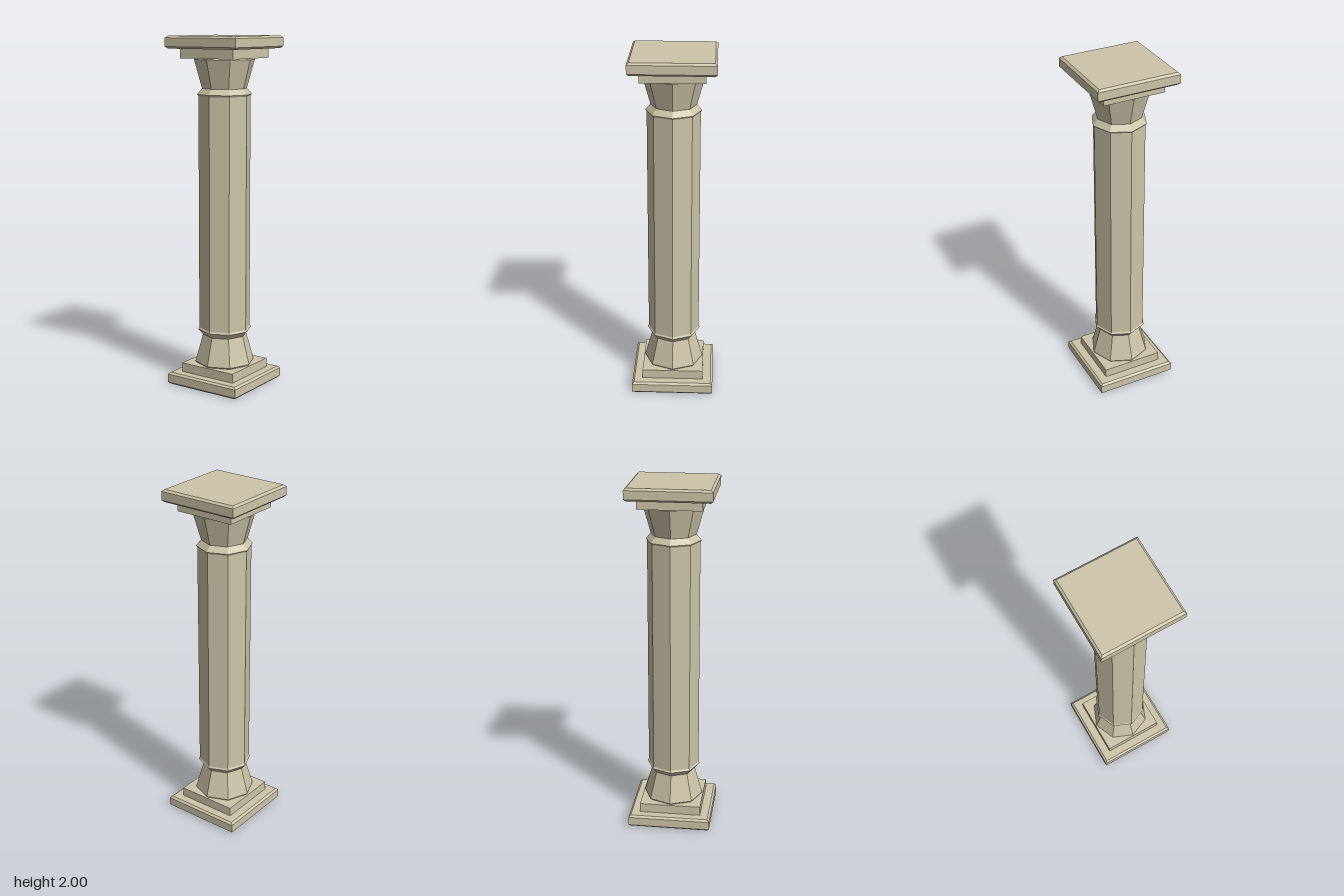
import * as THREE from 'three';

const stone = new THREE.MeshStandardMaterial({ color: 0xcdc5a9 });
stone.name = 'pale stone';

// Faceted solid turned from a [radius, height] profile listed bottom to top
function turned(name, profile, sides) {
  const points = profile.map(([r, y]) => new THREE.Vector2(r, y));
  const geometry = new THREE.LatheGeometry(points, sides).toNonIndexed();
  geometry.computeVertexNormals();
  const mesh = new THREE.Mesh(geometry, stone);
  mesh.name = name;
  return mesh;
}

// Square block, with profile radii given as half widths
function square(name, profile) {
  const mesh = turned(name, profile.map(([h, y]) => [h * Math.SQRT2, y]), 4);
  mesh.geometry.rotateY(Math.PI / 4);
  return mesh;
}

// The same profile turned upside down at the other end of the column
const flip = (profile) => profile.map(([r, y]) => [r, 2 - y]).reverse();

export function createModel() {
  const model = new THREE.Group();
  model.name = 'column';

  // Chamfered slab
  const slab = [[0, 0], [0.224, 0], [0.236, 0.011], [0.236, 0.059], [0.224, 0.07], [0, 0.07]];
  // Smaller step
  const step = [[0, 0.068], [0.177, 0.068], [0.177, 0.123], [0, 0.123]];
  // Tapered bell
  const bell = [[0, 0.12], [0.165, 0.12], [0.172, 0.13], [0.127, 0.29]];
  // Projecting collar
  const collar = [[0.127, 0.29], [0.155, 0.322], [0.148, 0.332]];

  for (const [end, place] of [['base', (p) => p], ['capital', flip]]) {
    const group = new THREE.Group();
    group.name = end;
    group.add(
      square(end + ' slab', place(slab)),
      square(end + ' step', place(step)),
      turned(end + ' bell', place(bell), 8),
      turned(end + ' collar', place(collar), 8)
    );
    model.add(group);
  }

  // Octagonal shaft
  model.add(turned('shaft', [[0.148, 0.325], [0.148, 1.675]], 8));
  return model;
}
